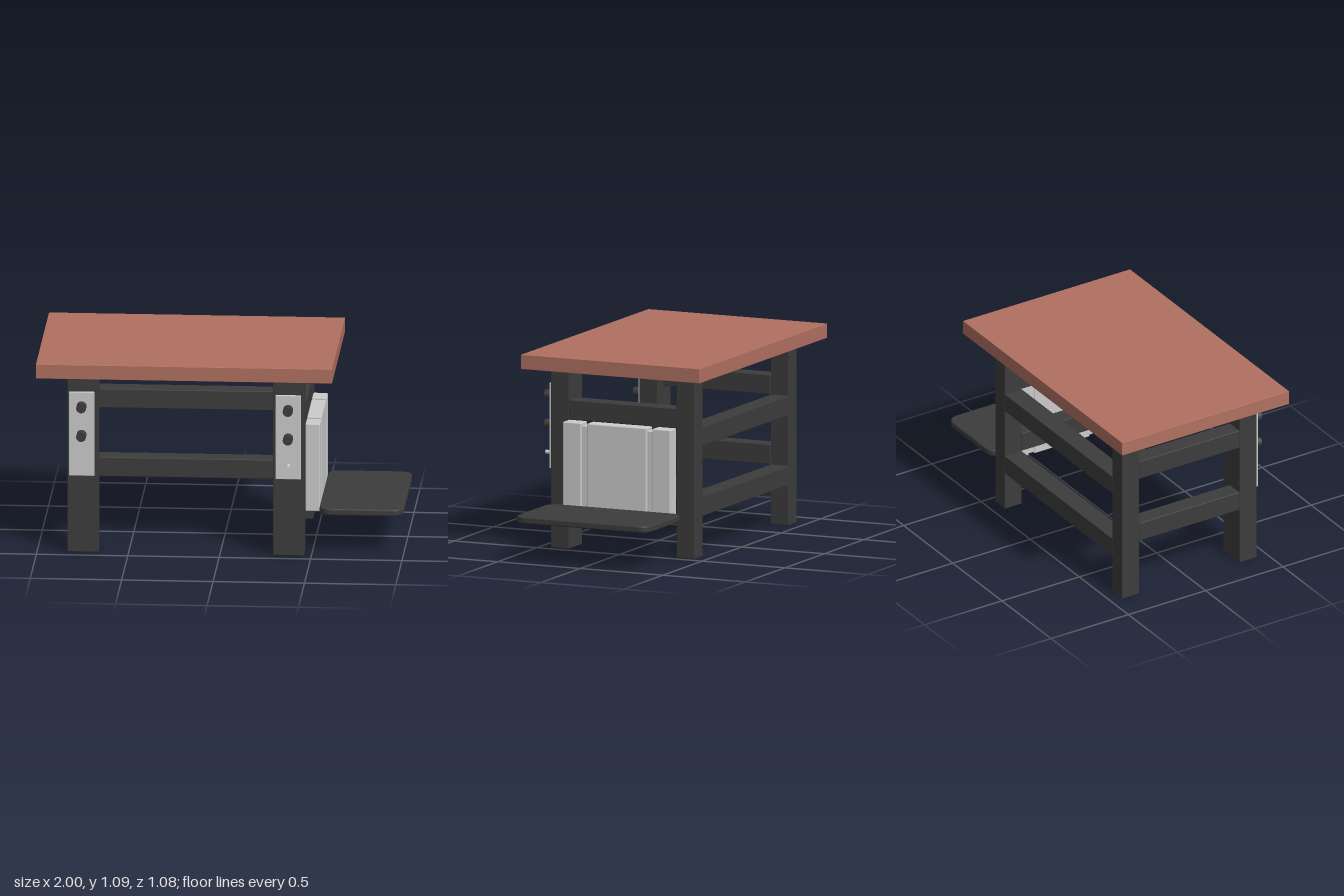
import * as THREE from 'three';
import { RoundedBoxGeometry } from 'three/addons/geometries/RoundedBoxGeometry.js';

const wood = new THREE.MeshStandardMaterial({ color: 0xb07060 });
const dark = new THREE.MeshStandardMaterial({ color: 0x3c3c3c });
const grey = new THREE.MeshStandardMaterial({ color: 0xcccccc });

// Softly rounded box given by its extents on each axis
function block(name, [x0, x1], [y0, y1], [z0, z1], material, radius = 0.004) {
  const geometry = new RoundedBoxGeometry(x1 - x0, y1 - y0, z1 - z0, 2, radius);
  const mesh = new THREE.Mesh(geometry, material);
  mesh.position.set((x0 + x1) / 2, (y0 + y1) / 2, (z0 + z1) / 2);
  mesh.name = name;
  return mesh;
}

// Cylinder pointing forward from the front plates
function peg(name, x, y, radius, material) {
  const mesh = new THREE.Mesh(new THREE.CylinderGeometry(radius, radius, 0.06, 32), material);
  mesh.rotation.x = Math.PI / 2;
  mesh.position.set(x, y, 0.475);
  mesh.name = name;
  return mesh;
}

// Flat shelf with rounded corners and a small edge bevel
function shelf() {
  const bevel = 0.008, x0 = 0.54 + bevel, x1 = 1 - bevel, h = 0.405 - bevel, r = 0.055;
  const s = new THREE.Shape();
  s.moveTo(x0 + r, -h);
  s.lineTo(x1 - r, -h);
  s.absarc(x1 - r, -h + r, r, -Math.PI / 2, 0);
  s.absarc(x1 - r, h - r, r, 0, Math.PI / 2);
  s.absarc(x0 + r, h - r, r, Math.PI / 2, Math.PI);
  s.absarc(x0 + r, -h + r, r, Math.PI, Math.PI * 1.5);
  const geometry = new THREE.ExtrudeGeometry(s, {
    depth: 0.037 - 2 * bevel, bevelSize: bevel, bevelThickness: bevel, bevelSegments: 3, curveSegments: 10,
  });
  geometry.rotateX(-Math.PI / 2);
  const mesh = new THREE.Mesh(geometry, dark);
  mesh.position.y = 0.222 + bevel;
  mesh.name = 'sideShelf';
  return mesh;
}

export function createModel() {
  const model = new THREE.Group();
  model.name = 'workTable';
  model.add(block('tableTop', [-1, 0.62], [1.005, 1.085], [-0.54, 0.54], wood, 0.002));

  // Wide front legs, slimmer back legs
  const front = [0.325, 0.435], back = [-0.435, -0.325];
  model.add(
    block('frontRightLeg', [-0.835, -0.665], [0, 1.005], front, dark),
    block('frontLeftLeg', [0.29, 0.46], [0, 1.005], front, dark),
    block('backRightLeg', [-0.835, -0.735], [0, 1.005], back, dark),
    block('backLeftLeg', [0.36, 0.46], [0, 1.005], back, dark),
  );

  // Rails at the back and along both sides
  for (const y of [[0.222, 0.33], [0.61, 0.717]])
    model.add(block('backRail', [-0.735, 0.36], y, back, dark));
  for (const x of [[-0.835, -0.735], [0.36, 0.46]])
    for (const y of [[0.33, 0.44], [0.717, 0.825]])
      model.add(block('sideRail', x, y, [-0.325, 0.325], dark));

  // Control plates with knobs on the front legs
  for (const x of [-0.755, 0.375]) {
    model.add(block('controlPlate', [x - 0.07, x + 0.07], [0.435, 0.908], [0.434, 0.452], grey, 0.003));
    for (const y of [0.83, 0.668]) model.add(peg('knob', x, y, 0.027, dark));
  }
  model.add(peg('pin', 0.375, 0.512, 0.011, grey));

  // Side panel of three boards joined by recessed strips
  for (const z of [[0.215, 0.325], [-0.18, 0.18], [-0.325, -0.215]])
    model.add(block('panelBoard', [0.46, 0.54], [0.222, 0.717], z, grey, 0.006));
  for (const z of [[0.175, 0.22], [-0.22, -0.175]])
    model.add(block('panelStrip', [0.465, 0.525], [0.23, 0.7], z, grey));

  model.add(shelf());
  return model;
}
